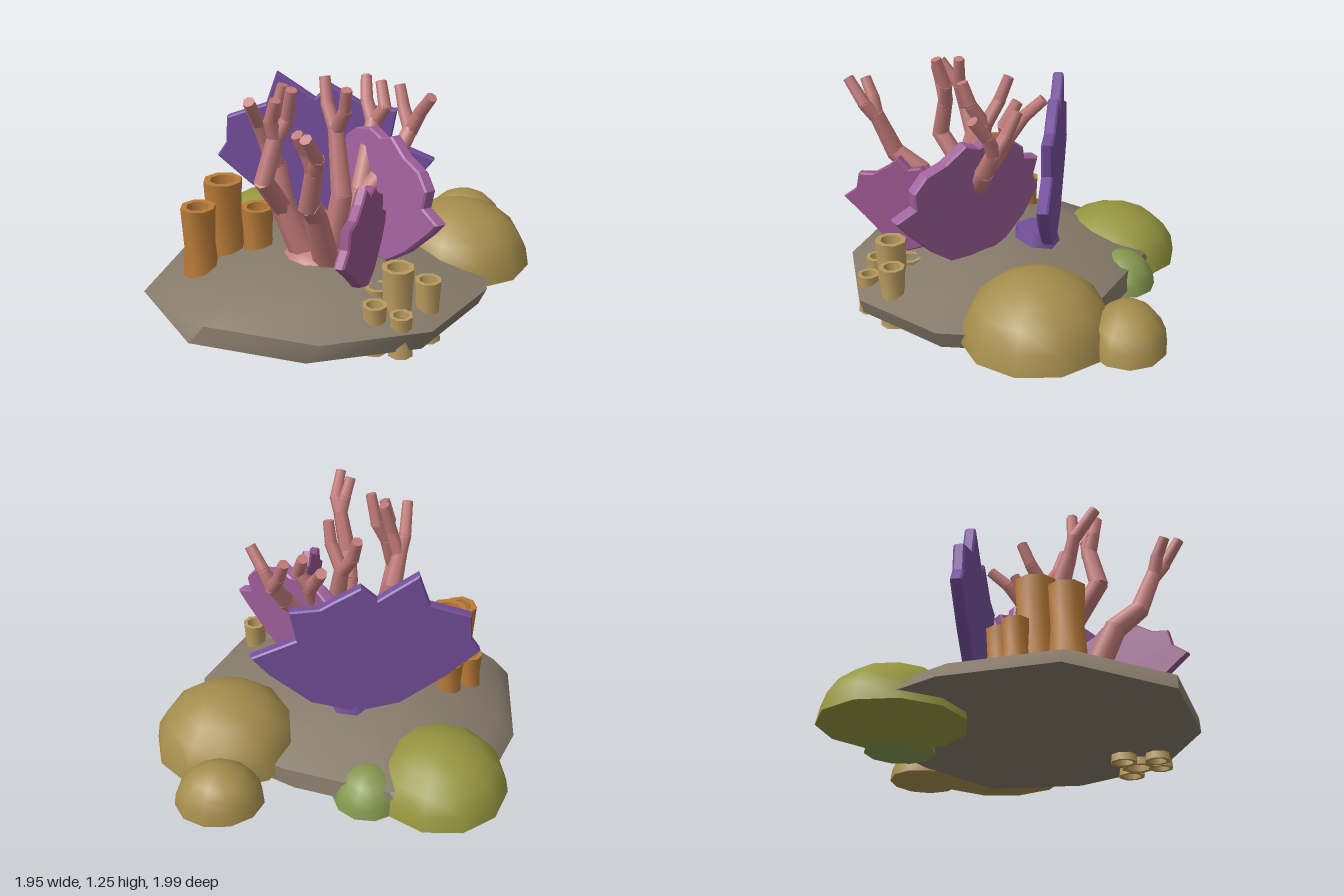
import * as THREE from 'three';
import { toCreasedNormals } from 'three/addons/utils/BufferGeometryUtils.js';

const V = (x, y, z) => new THREE.Vector3(x, y, z);
const mat = color => new THREE.MeshStandardMaterial({ color });
const ROCK = mat(0x857a6a), PINK = mat(0xc07a78), PURPLE = mat(0x744f9c), MAGENTA = mat(0xa0609c),
  PLUM = mat(0x98548a), ORANGE = mat(0xb97b38), SAND = mat(0xb89a5e), GOLD = mat(0xa58d4c),
  GREEN = mat(0x95963f), MOSS = mat(0x86984f);

function add(parent, name, geometry, material) {
  const mesh = new THREE.Mesh(geometry, material);
  mesh.name = name;
  parent.add(mesh);
  return mesh;
}

function group(parent, name) {
  const g = new THREE.Group();
  g.name = name;
  parent.add(g);
  return g;
}

// Irregular rock slab: bottom, rim and two upper rings joined up to a peak
function rockGeometry() {
  const rim = [[-0.31, 0.97], [0.28, 0.91], [0.73, 0.58], [0.86, 0.06], [0.7, -0.42],
    [0.2, -0.57], [-0.38, -0.62], [-0.76, -0.35], [-0.87, 0.08], [-0.79, 0.62]];
  const cx = -0.02, cz = 0.25, n = rim.length;
  const pos = [cx, 0.04, cz];
  const ring = (s, y, dx = 0) => rim.forEach(([x, z]) =>
    pos.push(cx + (x - cx) * s + dx, y, cz + (z - cz) * s));
  ring(1.03, 0.04, -0.07);
  ring(1, 0.14);
  ring(0.66, 0.235);
  ring(0.33, 0.3);
  pos.push(cx, 0.315, cz);
  const idx = [], top = 1 + 4 * n;
  for (let i = 0; i < n; i++) {
    const j = (i + 1) % n;
    idx.push(0, 1 + j, 1 + i);
    for (let r = 0; r < 3; r++) {
      const a = 1 + r * n + i, b = 1 + r * n + j;
      idx.push(a, b, b + n, a, b + n, a + n);
    }
    idx.push(1 + 3 * n + i, 1 + 3 * n + j, top);
  }
  const g = new THREE.BufferGeometry();
  g.setAttribute('position', new THREE.Float32BufferAttribute(pos, 3));
  g.setIndex(idx);
  return toCreasedNormals(g, 0.8);
}

// Closed half dome with a flat underside
function dome(parent, name, [x, y, z], [sx, sy, sz], turn, material) {
  const pts = [new THREE.Vector2(0, 0)];
  for (let i = 0; i <= 5; i++) {
    const a = i / 5 * Math.PI / 2;
    pts.push(new THREE.Vector2(i === 5 ? 0 : Math.cos(a), Math.sin(a)));
  }
  const g = new THREE.LatheGeometry(pts, 11);
  g.scale(sx, sy, sz);
  const m = add(parent, name, toCreasedNormals(g, 0.85), material);
  m.position.set(x, y, z);
  m.rotation.y = turn;
}

// Hollow eight-sided tube with a slight waist
function tube(parent, name, x, z, r, y0, y1, material) {
  const h = y1 - y0;
  const pts = [[1.08, 0], [0.9, h * 0.5], [1, h], [0.66, h], [0.6, h * 0.5], [0.74, 0], [1.08, 0]]
    .map(([s, y]) => new THREE.Vector2(s * r, y));
  const m = add(parent, name, toCreasedNormals(new THREE.LatheGeometry(pts, 8), 0.95), material);
  m.position.set(x, y0, z);
}

// Upright fan slab leaning about mid height; outline is width along the turn and height
function fan(parent, name, outline, [x, z], turn, lean, stretch, thick, material) {
  const mid = 0.6;
  const shape = new THREE.Shape(outline.map(([u, y]) => new THREE.Vector2(u * stretch, y - mid)));
  const g = new THREE.ExtrudeGeometry(shape, { depth: thick - 0.02, bevelEnabled: true,
    bevelThickness: 0.01, bevelSize: 0.008, bevelOffset: -0.008, bevelSegments: 1 });
  g.translate(0, 0, 0.01 - thick / 2);
  const m = add(parent, name, g, material);
  m.position.set(x, mid, z);
  m.rotation.set(lean, turn, 0, 'YXZ');
}

// Chain of tapering seven-sided segments
function branch(parent, name, points, r0, r1) {
  const g = group(parent, name), n = points.length - 1;
  for (let i = 0; i < n; i++) {
    const a = V(...points[i]), b = V(...points[i + 1]);
    const dir = b.clone().sub(a), len = dir.length();
    dir.normalize();
    const rad = t => r0 + (r1 - r0) * t / n;
    const m = add(g, 'branchSegment',
      new THREE.CylinderGeometry(rad(i + 1), rad(i), len + 0.025, 7), PINK);
    m.position.copy(a).add(b).multiplyScalar(0.5);
    m.quaternion.setFromUnitVectors(V(0, 1, 0), dir);
  }
}

export function createModel() {
  const model = new THREE.Group();
  model.name = 'coralReef';
  add(model, 'rockBase', rockGeometry(), ROCK);

  // Rounded boulder corals
  dome(model, 'largeGoldDome', [0.575, 0.08, -0.36], [0.4, 0.34, 0.385], 0, GOLD);
  dome(model, 'smallGoldDome', [0.48, 0.08, -0.8], [0.235, 0.225, 0.2], 0.25, GOLD);
  dome(model, 'largeGreenDome', [-0.605, 0, -0.355], [0.37, 0.295, 0.37], 0.2, GREEN);
  dome(model, 'smallGreenDome', [-0.25, 0, -0.53], [0.19, 0.195, 0.185], 0.1, MOSS);

  // Tube clusters
  const tall = group(model, 'orangeTubes');
  [[-0.52, 0.36, 0.105, 0.65], [-0.57, 0.54, 0.093, 0.56], [-0.34, 0.32, 0.088, 0.51],
    [-0.56, 0.2, 0.08, 0.41], [-0.665, 0.32, 0.068, 0.39]]
    .forEach(([x, z, r, h]) => tube(tall, 'orangeTube', x, z, r, 0.13, h, ORANGE));
  const short = group(model, 'sandTubes');
  [[0.52, 0.5, 0.084, 0.41], [0.65, 0.42, 0.068, 0.33], [0.45, 0.63, 0.064, 0.255],
    [0.58, 0.61, 0.06, 0.215], [0.4, 0.46, 0.068, 0.26]]
    .forEach(([x, z, r, h]) => tube(short, 'sandTube', x, z, r, 0, h, SAND));

  // Fan corals
  const fans = group(model, 'fanCorals');
  fan(fans, 'purpleFan', [[-0.1, 0.27], [0.13, 0.35], [0.34, 0.55], [0.43, 0.67], [0.2, 0.77],
    [0.23, 0.95], [0.08, 0.96], [0.0, 1.01], [-0.12, 1.08], [-0.2, 1.0], [-0.27, 1.05],
    [-0.4, 1.14], [-0.46, 0.96], [-0.67, 0.88], [-0.68, 0.73], [-0.73, 0.65], [-0.56, 0.49],
    [-0.33, 0.32]].map(([x, y]) => [x + 0.145, y]), [-0.145, -0.145], 0.295, 0, 1.045, 0.06, PURPLE);
  fan(fans, 'magentaFan', [[0.2, 0.28], [0.4, 0.29], [0.52, 0.39], [0.65, 0.54], [0.7, 0.61],
    [0.6, 0.66], [0.61, 0.75], [0.55, 0.83], [0.45, 0.87], [0.35, 0.95], [0.28, 0.92],
    [0.2, 0.95], [0.1, 0.92], [0.03, 0.86], [0.02, 0.8], [-0.06, 0.78], [-0.04, 0.68],
    [-0.07, 0.6], [0.0, 0.45], [0.1, 0.33]].map(([x, y]) => [x - 0.31, y]),
    [0.31, 0.15], -0.53, -0.1, 1.14, 0.07, MAGENTA);
  fan(fans, 'plumFan', [[0.5, 0.27], [0.4, 0.31], [0.28, 0.42], [0.19, 0.55], [0.27, 0.6],
    [0.27, 0.68], [0.35, 0.72], [0.4, 0.77], [0.47, 0.75], [0.53, 0.81], [0.6, 0.75],
    [0.68, 0.7], [0.77, 0.69], [0.79, 0.6], [0.87, 0.54], [0.75, 0.44], [0.62, 0.32]]
    .map(([z, y]) => [z - 0.53, y]), [0.34, 0.53], -1.51, 0, 1, 0.055, PLUM);
  const foot = add(fans, 'purpleFanFoot', new THREE.CylinderGeometry(0.11, 0.15, 0.14, 7), PURPLE);
  foot.position.set(-0.06, 0.28, -0.08);

  // Branching coral growing from a low mound
  const coral = group(model, 'branchingCoral');
  dome(coral, 'coralFoot', [0.0, 0.24, 0.32], [0.21, 0.115, 0.18], 0, PINK);
  branch(coral, 'leftTrunk', [[-0.05, 0.3, 0.34], [-0.16, 0.6, 0.39], [-0.2, 0.78, 0.36],
    [-0.22, 0.93, 0.42]], 0.08, 0.042);
  branch(coral, 'leftFrontLimb', [[-0.15, 0.57, 0.4], [-0.17, 0.77, 0.56], [-0.13, 0.99, 0.5]], 0.055, 0.042);
  branch(coral, 'frontTrunk', [[0.09, 0.3, 0.38], [0.1, 0.64, 0.55], [0.13, 0.74, 0.68],
    [0.19, 0.96, 0.75]], 0.072, 0.042);
  branch(coral, 'middleTrunk', [[0.06, 0.3, 0.26], [0.11, 0.62, 0.24], [0.05, 0.95, 0.17]], 0.07, 0.042);
  branch(coral, 'backTrunk', [[0.12, 0.3, 0.24], [0.18, 0.62, 0.15], [0.18, 0.95, -0.02]], 0.07, 0.042);
  branch(coral, 'rightTrunk', [[0.14, 0.3, 0.24], [0.21, 0.62, 0.16], [0.33, 0.79, 0.04],
    [0.38, 0.93, -0.04]], 0.065, 0.04);

  // Forked tips, each running on from a trunk
  [[[-0.22, 0.92, 0.42], [-0.24, 1.03, 0.46], [-0.23, 1.17, 0.57]],
    [[-0.22, 0.92, 0.42], [-0.17, 1.06, 0.43], [-0.13, 1.22, 0.41]],
    [[-0.13, 0.97, 0.5], [-0.08, 1.08, 0.47], [-0.04, 1.23, 0.5]],
    [[-0.13, 0.97, 0.5], [-0.14, 1.08, 0.53], [-0.11, 1.18, 0.54]],
    [[0.19, 0.95, 0.75], [0.23, 1.03, 0.8], [0.22, 1.15, 0.89]],
    [[0.19, 0.95, 0.75], [0.17, 1.05, 0.78], [0.15, 1.14, 0.83]],
    [[0.05, 0.94, 0.17], [-0.02, 1.06, 0.12], [-0.05, 1.18, 0.08]],
    [[0.05, 0.94, 0.17], [0.12, 1.07, 0.22], [0.14, 1.18, 0.25]],
    [[0.18, 0.94, -0.02], [0.12, 1.04, -0.08], [0.08, 1.13, -0.17]],
    [[0.18, 0.94, -0.02], [0.24, 1.03, -0.03], [0.2, 1.14, -0.08]],
    [[0.38, 0.92, -0.04], [0.33, 1.01, -0.08], [0.29, 1.12, -0.12]],
    [[0.38, 0.92, -0.04], [0.43, 1.02, -0.03], [0.5, 1.12, 0.01]]]
    .forEach(p => branch(coral, 'coralTip', p, 0.04, 0.03));

  return model;
}
